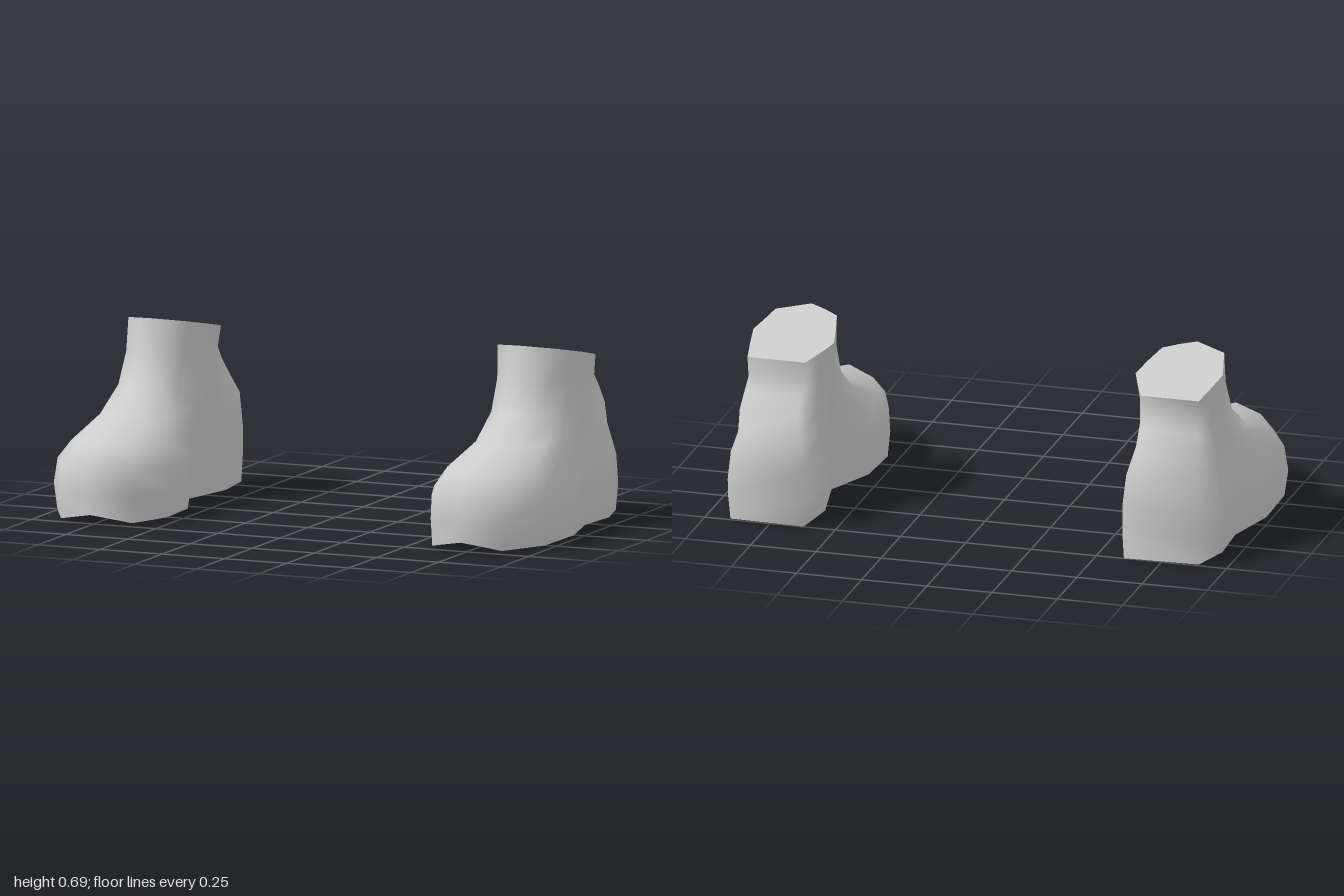
import * as THREE from 'three';

// Plan outlines [x, z], running from the toe round the outer side, heel and inner side
const SOLE = [[.745, .54], [.89, .485], [.985, .31], [.99, .06], [.935, -.16], [.945, -.36], [.90, -.515],
  [.61, -.525], [.585, -.33], [.63, -.1], [.545, .1], [.535, .31], [.60, .48]];
const ANKLE = [[.74, 0], [.80, -.03], [.86, -.06], [.88, -.14], [.90, -.21], [.883, -.31], [.865, -.405],
  [.645, -.405], [.61, -.33], [.58, -.255], [.60, -.16], [.625, -.065], [.68, -.03]];
const N = SOLE.length;

// Cross-sections from sole to ankle; blend 0 = sole outline, 1 = ankle outline
const RINGS = [
  { zF: .54, zB: -.525, yF: .01, yB: .01, xI: .54, xO: .985, blend: 0, toeLift: .03 },
  { zF: .54, zB: -.525, yF: .11, yB: .11, xI: .53, xO: 1.0, blend: 0 },
  { zF: .54, zB: -.53, yF: .20, yB: .22, xI: .535, xO: .985, blend: .02 },
  { zF: .49, zB: -.515, yF: .29, yB: .34, xI: .56, xO: .945, blend: .25, crown: .04, skew: .04 },
  { zF: .24, zB: -.475, yF: .35, yB: .42, xI: .58, xO: .925, blend: .7, crown: .03, skew: .02 },
  { zF: .09, zB: -.43, yF: .44, yB: .485, xI: .588, xO: .905, blend: .9, crown: .015 },
  { zF: .03, zB: -.40, yF: .56, yB: .53, xI: .59, xO: .895, blend: 1 },
  { zF: 0, zB: -.405, yF: .69, yB: .605, xI: .578, xO: .90, blend: 1 },
];

// Scale an outline to u in -1..1 across and v in 0..1 from heel to toe
function normalise(outline) {
  const xs = outline.map(p => p[0]), zs = outline.map(p => p[1]);
  const x0 = Math.min(...xs), x1 = Math.max(...xs), z0 = Math.min(...zs), z1 = Math.max(...zs);
  return outline.map(([x, z]) => [(x - x0) / (x1 - x0) * 2 - 1, (z - z0) / (z1 - z0)]);
}
const soleUV = normalise(SOLE), ankleUV = normalise(ANKLE);

function ringPoints(r, side) {
  return soleUV.map((s, i) => {
    const u = THREE.MathUtils.lerp(s[0], ankleUV[i][0], r.blend);
    const v = THREE.MathUtils.lerp(s[1], ankleUV[i][1], r.blend);
    const x = THREE.MathUtils.lerp(r.xI, r.xO, (u + 1) / 2);
    const y = THREE.MathUtils.lerp(r.yB, r.yF, v) - (r.crown || 0) * Math.abs(u) * v;
    const z = THREE.MathUtils.lerp(r.zB, r.zF, v) + (r.skew || 0) * u * (1 - v);
    return [side * x, y + (i === 0 ? r.toeLift || 0 : 0), z];
  });
}

function makeMesh(name, points, faces, side, material) {
  const geo = new THREE.BufferGeometry();
  geo.setAttribute('position', new THREE.Float32BufferAttribute(points.flat(), 3));
  geo.setIndex(faces.flatMap(([a, b, c]) => side > 0 ? [a, b, c] : [a, c, b]));
  geo.computeVertexNormals();
  const mesh = new THREE.Mesh(geo, material);
  mesh.name = name;
  return mesh;
}

// Cap a ring with a fan around a centre point
function fan(name, ring, centre, up, side, material) {
  const faces = ring.map((_, i) => {
    const a = i + 1, b = (i + 1) % N + 1;
    return up ? [0, a, b] : [0, b, a];
  });
  return makeMesh(name, [centre, ...ring], faces, side, material);
}

function createShoe(side, material) {
  const shoe = new THREE.Group();
  shoe.name = side > 0 ? 'leftShoe' : 'rightShoe';
  const rings = RINGS.map(r => ringPoints(r, side));

  // Smooth upper, lofted through the rings
  const faces = [];
  for (let r = 0; r < rings.length - 1; r++) {
    for (let i = 0; i < N; i++) {
      const j = (i + 1) % N, a = r * N + i, b = r * N + j;
      faces.push([a, b, b + N], [a, b + N, a + N]);
    }
  }
  shoe.add(makeMesh('upper', rings.flat(), faces, side, material));

  // Sole and closed ankle top, with hard edges
  shoe.add(fan('sole', rings[0], [side * .76, 0, -.13], false, side, material));
  shoe.add(fan('ankleTop', rings[rings.length - 1], [side * .74, .645, -.21], true, side, material));
  return shoe;
}

export function createModel() {
  const model = new THREE.Group();
  model.name = 'pairOfShoes';
  const grey = new THREE.MeshStandardMaterial({ color: 0xcccccc });
  grey.name = 'lightGrey';
  for (const side of [1, -1]) model.add(createShoe(side, grey));
  return model;
}
